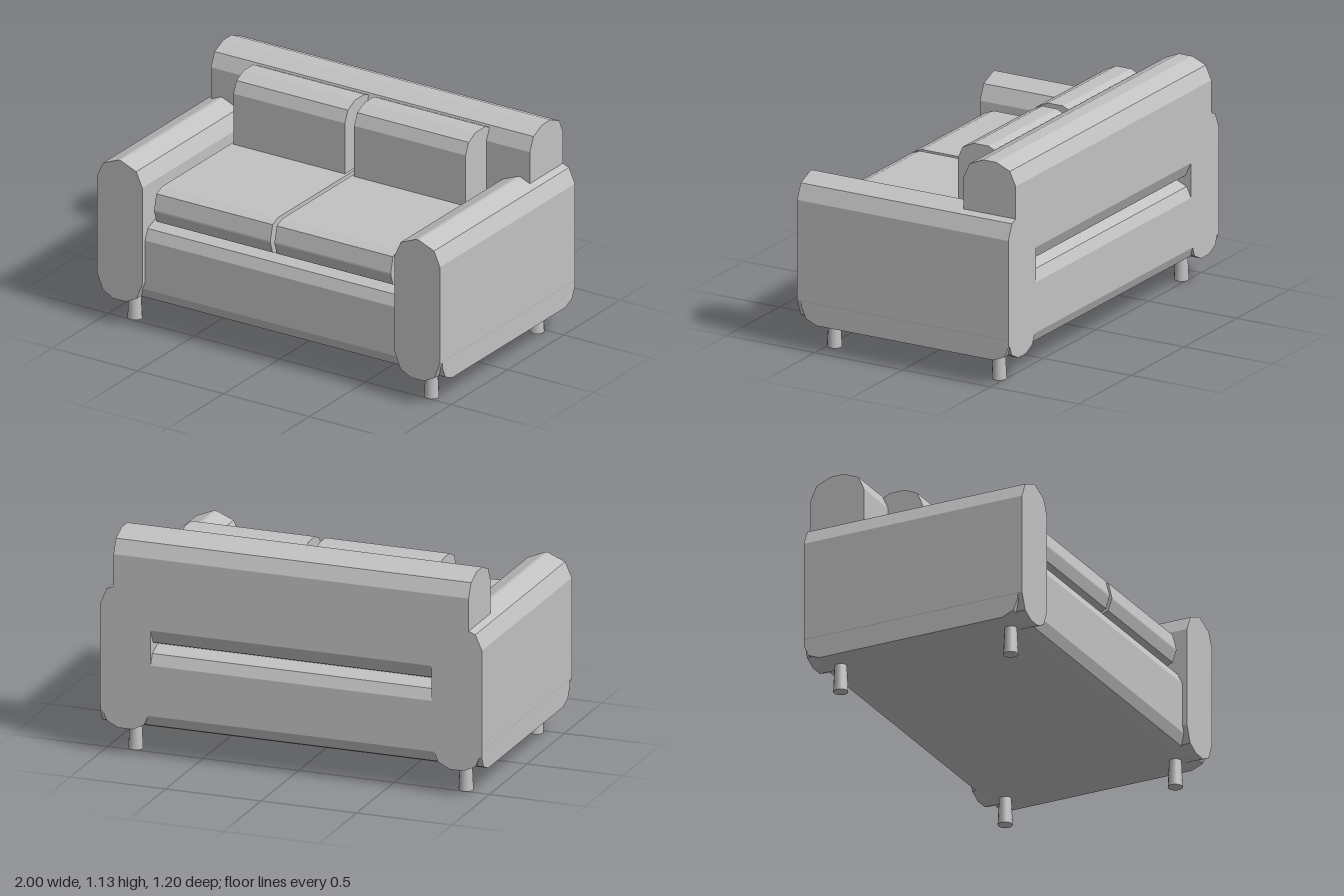
import * as THREE from 'three';

const fabric = new THREE.MeshStandardMaterial({ color: 0xc2c2c2 });
fabric.name = 'grey fabric';

// Box outline with every corner cut twice; top and bottom take [reach in u, reach in v, inset u, inset v]
function roundedOutline(u0, u1, v0, v1, top, bottom) {
  const [tu, tv, ti, tj] = top;
  const [bu, bv, bi, bj] = bottom;
  return new THREE.Shape([
    [u0, v0 + bv], [u0 + bi, v0 + bj], [u0 + bu, v0],
    [u1 - bu, v0], [u1 - bi, v0 + bj], [u1, v0 + bv],
    [u1, v1 - tv], [u1 - ti, v1 - tj], [u1 - tu, v1],
    [u0 + tu, v1], [u0 + ti, v1 - tj], [u0, v1 - tv],
  ].map(([u, v]) => new THREE.Vector2(u, v)));
}

function extrudeCentred(shape, length) {
  const geometry = new THREE.ExtrudeGeometry(shape, { depth: length, bevelEnabled: false });
  return geometry.translate(0, 0, -length / 2);
}

// Extrudes a side outline (u = -z) across the sofa
function acrossX(shape, x0, x1) {
  return extrudeCentred(shape, x1 - x0).rotateY(Math.PI / 2).translate((x0 + x1) / 2, 0, 0);
}

export function createModel() {
  const sofa = new THREE.Group();
  sofa.name = 'sofa';
  const add = (name, geometry) => {
    const mesh = new THREE.Mesh(geometry, fabric);
    mesh.name = name;
    sofa.add(mesh);
    return mesh;
  };

  const soft = [0.085, 0.08, 0.025, 0.025];

  // Base running the full width
  add('base', acrossX(roundedOutline(-0.575, 0.6, 0.14, 0.56, soft, soft), -0.999, 0.999));

  // Backrest, rounded below as well so a groove shows behind
  const backEdge = [0.11, 0.105, 0.033, 0.033];
  add('backrest', acrossX(roundedOutline(0.305, 0.6, 0.56, 1.135, backEdge, [0.11, 0.1, 0.033, 0.03]), -0.93, 0.93));

  const armShape = roundedOutline(-0.132, 0.132, 0.14, 0.885, [0.125, 0.115, 0.035, 0.037], [0.095, 0.115, 0.034, 0.03]);
  const seatShape = roundedOutline(-0.565, 0.35, 0.562, 0.75, [0.07, 0.1, 0.02, 0.02], [0.07, 0.08, 0.02, 0.02]);
  const pillowShape = roundedOutline(0.12, 0.385, 0.7, 1.11, [0.09, 0.09, 0.027, 0.03], [0.06, 0.03, 0.02, 0.01]);

  for (const [side, s] of [['left', 1], ['right', -1]]) {
    add(side + 'Arm', extrudeCentred(armShape, 1.2).translate(s * 0.868, 0, 0));
    const span = (a, b) => (s > 0 ? [a, b] : [-b, -a]);
    add(side + 'SeatCushion', acrossX(seatShape, ...span(0.012, 0.69)));
    add(side + 'BackCushion', acrossX(pillowShape, ...span(0.027, 0.677)));

    // Tapered feet, wider at the floor
    for (const [end, z] of [['Front', 0.468], ['Back', -0.468]]) {
      const foot = add(side + end + 'Foot', new THREE.CylinderGeometry(0.03, 0.037, 0.15, 14));
      foot.position.set(s * 0.865, 0.075, z);
    }
  }
  return sofa;
}
